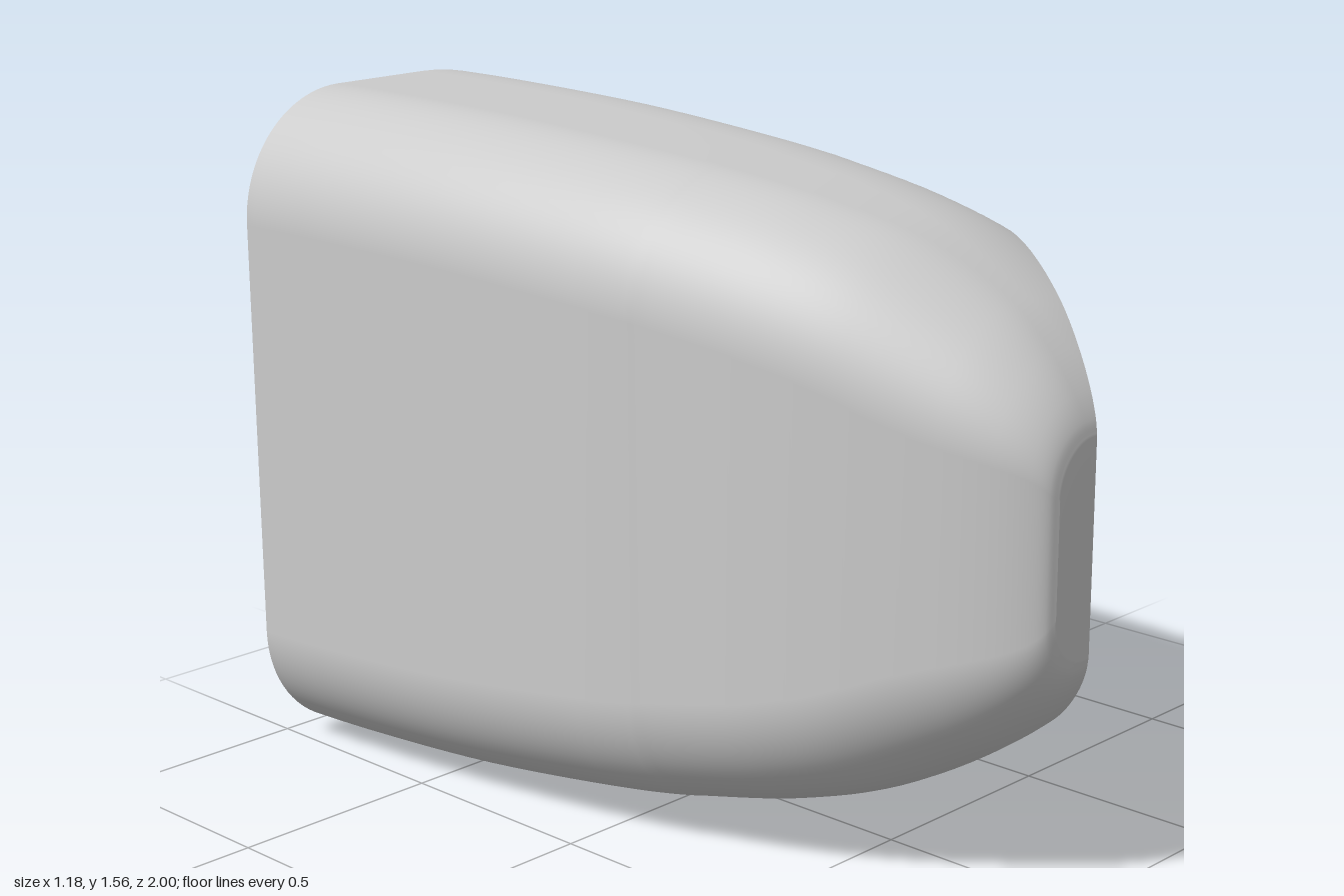
import * as THREE from 'three';
import { mergeVertices } from 'three/addons/utils/BufferGeometryUtils.js';

const MID = 0.78;      // height of the mirror plane
const SLANT = -0.05;   // sections lean slightly: z = s + SLANT * x
const BACK = -0.973;
const CUT = 0.13;      // station where the angled facet starts
const ARC = 20;

// Control stations: left edge x, half height, station s
const rail = [
  [-0.59, 0.78, BACK], [-0.58, 0.777, -0.8], [-0.547, 0.76, -0.4], [-0.495, 0.724, 0],
  [-0.47, 0.708, CUT], [-0.462, 0.703, 0.16], [-0.405, 0.658, 0.4], [-0.34, 0.595, 0.6],
  [-0.255, 0.48, 0.8], [-0.2, 0.392, 0.9], [-0.155, 0.318, 0.96], [-0.125, 0.268, 0.986],
  [-0.1, 0.235, 0.994],
];

// Outline of one section, clockwise seen from the front, open on the right side
function section(left, h, s) {
  const wall = 0.54 + 0.0426 * (s - BACK);
  const facet = s > CUT + 1e-4 ? (1.033 - s) / 1.539 : wall;
  const rx = 0.57, ry = Math.min(0.5, h), cx = wall - rx;
  const r = 0.11 + 0.18 * THREE.MathUtils.smoothstep(h, 0.2, 0.6);
  const end = Math.acos(THREE.MathUtils.clamp((facet - cx) / rx, 0, 1));
  const upper = [];
  for (let i = 0; i <= ARC; i++) {            // small left corner
    const a = Math.PI - (i / ARC) * Math.PI / 2;
    upper.push([left + r + r * Math.cos(a), h - r + r * Math.sin(a)]);
  }
  for (let i = 0; i <= ARC; i++) {            // large right corner, stopped at the facet
    const a = THREE.MathUtils.lerp(Math.PI / 2, end, i / ARC);
    upper.push([Math.min(facet, cx + rx * Math.cos(a)), h - ry + ry * Math.sin(a)]);
  }
  const lower = upper.map(([x, y]) => [x, -y]).reverse();
  return [...lower, ...upper].map(([x, y]) => new THREE.Vector3(x, MID + y, s + SLANT * x));
}

// Skin over a row of sections with equal point counts
function loft(rings) {
  const n = rings[0].length, index = [];
  for (let i = 0; i < rings.length - 1; i++) {
    for (let j = 0; j < n - 1; j++) {
      const a = i * n + j, c = a + n;
      index.push(a, c, a + 1, a + 1, c, c + 1);
    }
  }
  let geo = new THREE.BufferGeometry().setFromPoints(rings.flat());
  geo.setIndex(index);
  geo = mergeVertices(geo, 1e-5);
  geo.computeVertexNormals();
  return geo;
}

// Lean a flat geometry's z with x to match the back plane
function lean(geo) {
  const p = geo.attributes.position;
  for (let i = 0; i < p.count; i++) p.setZ(i, p.getZ(i) + SLANT * p.getX(i));
  geo.computeVertexNormals();
  return geo;
}

export function createModel() {
  const group = new THREE.Group();
  const mat = new THREE.MeshStandardMaterial({ color: 0xcccccc });
  const inner = new THREE.MeshStandardMaterial({ color: 0xcccccc, side: THREE.DoubleSide });
  const add = (name, geo, material = mat) => {
    const mesh = new THREE.Mesh(geo, material);
    mesh.name = name;
    group.add(mesh);
  };

  const curve = new THREE.CatmullRomCurve3(rail.map(p => new THREE.Vector3(...p)));
  const steps = (rail.length - 1) * 6;
  const rings = [];
  for (let i = 0; i <= steps; i++) {
    const p = curve.getPoint(i / steps);
    rings.push(section(p.x, p.y, p.z));
  }

  // Main shell, closed at the blunt nose by folding the last ring to its mid line
  const nose = rings[steps].map(p => new THREE.Vector3(p.x, MID, p.z));
  add('shell', loft([...rings, nose]));

  // Flat side wall behind, angled facet in front
  const edges = rings.map(r => [r[r.length - 1], r[0]]);
  const start = 4 * 6;
  add('sideWall', loft(edges.slice(0, start + 1)));
  add('angledFacet', loft(edges.slice(start)));

  // Back plate with four screw holes
  const plate = new THREE.Shape(rings[0].map(p => new THREE.Vector2(-p.x, p.y)));
  const radius = 0.046, depth = 0.3;
  for (const x of [0.226, -0.27]) {
    for (const y of [MID + 0.243, MID - 0.243]) {
      plate.holes.push(new THREE.Path().absarc(-x, y, radius, 0, Math.PI * 2, true));
      add('screwHole', lean(new THREE.CylinderGeometry(radius, radius, depth, 24, 1, true)
        .rotateX(Math.PI / 2).translate(x, y, BACK + depth / 2)), inner);
      add('screwHoleEnd', lean(new THREE.CircleGeometry(radius, 24)
        .rotateY(Math.PI).translate(x, y, BACK + depth)), inner);
    }
  }
  add('backPlate', lean(new THREE.ShapeGeometry(plate, 24).rotateY(Math.PI).translate(0, 0, BACK)));
  return group;
}
